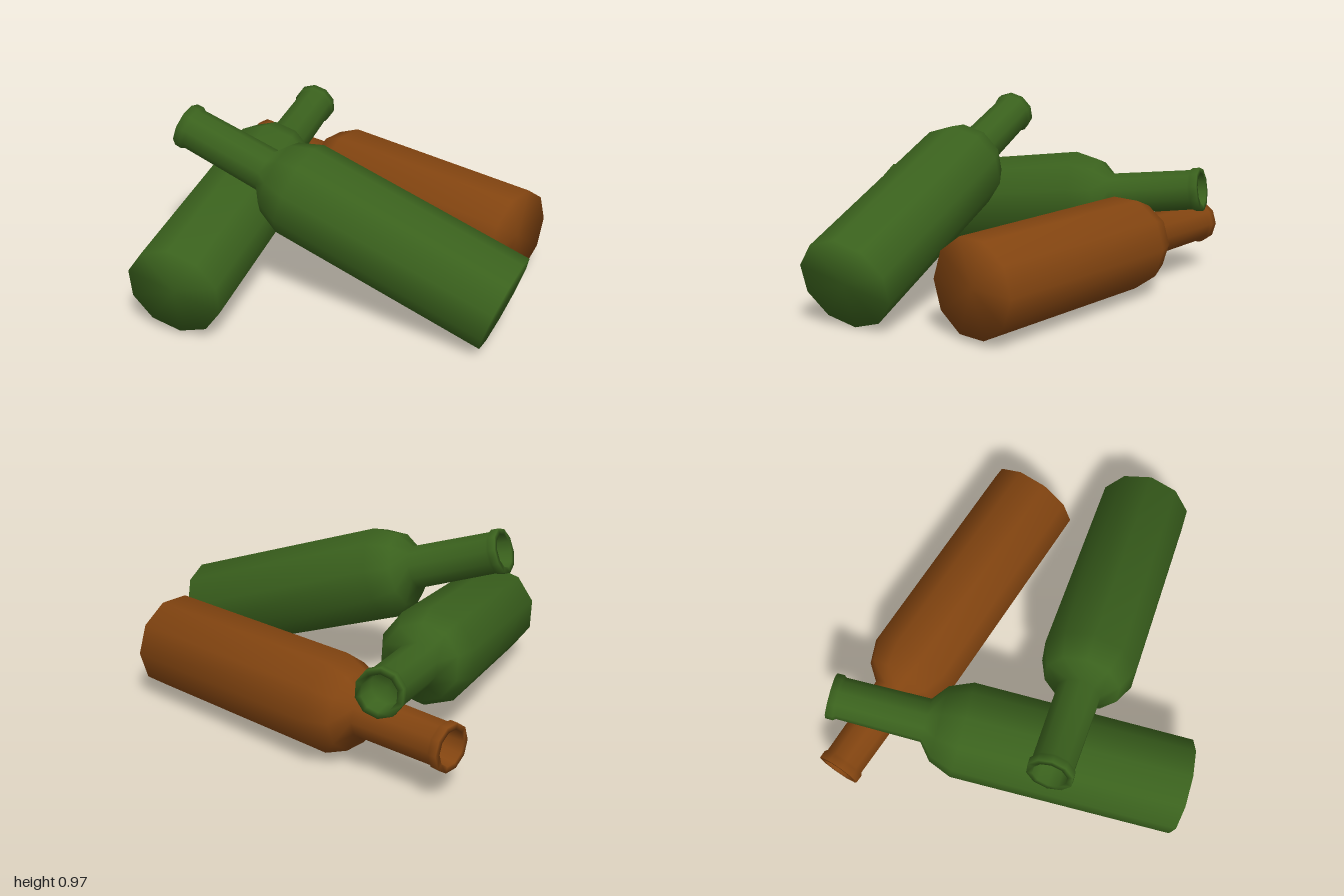
import * as THREE from 'three';

// Half-section of a bottle: base, body, shoulder, neck, lip, then the hollow mouth
const profile = [
  [0, 0], [0.255, 0], [0.255, 1.195], [0.203, 1.32], [0.117, 1.39],
  [0.111, 1.845], [0.122, 1.86], [0.121, 1.9], [0.09, 1.9], [0.085, 1.78], [0, 1.78],
].map(([r, y]) => new THREE.Vector2(r, y));

// Lay a ten-sided bottle from the centre of its base towards the centre of its mouth
function makeBottle(name, color, base, mouth, cornerUp) {
  const from = new THREE.Vector3(...base);
  const axis = new THREE.Vector3(...mouth).sub(from).normalize();
  const side = new THREE.Vector3(0, 1, 0).cross(axis).normalize();
  const up = axis.clone().cross(side);

  // The lathe's corners lie on its local z axis
  const z = cornerUp ? up : side;
  const x = axis.clone().cross(z);

  const mesh = new THREE.Mesh(
    new THREE.LatheGeometry(profile, 10),
    new THREE.MeshStandardMaterial({ color }),
  );
  mesh.name = name;
  mesh.position.copy(from);
  mesh.quaternion.setFromRotationMatrix(new THREE.Matrix4().makeBasis(x, axis, z));
  return mesh;
}

export function createModel() {
  const group = new THREE.Group();
  group.name = 'bottlePile';
  const green = 0x3a611d;
  const brown = 0x824410;
  group.add(
    makeBottle('lowerGreenBottle', green, [-0.64, 0.275, 0.935], [-0.64, 0.53, -0.948], true),
    makeBottle('upperGreenBottle', green, [0.917, 0.247, 0.425], [-0.875, 0.865, 0.268], true),
    makeBottle('brownBottle', brown, [0.825, 0.275, -0.21], [-0.96, 0.275, -0.855], false),
  );
  return group;
}
